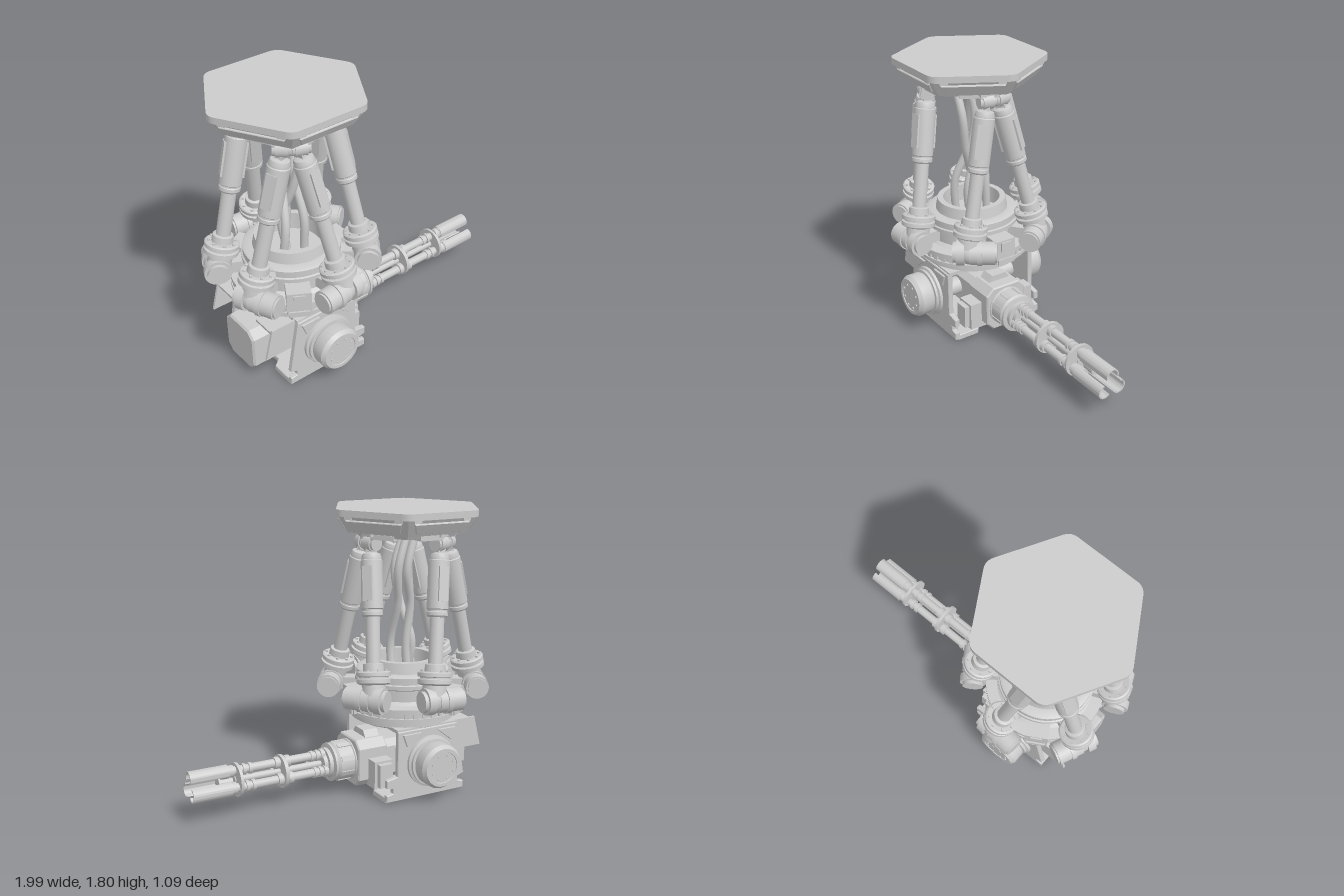
import * as THREE from 'three';
import { toCreasedNormals } from 'three/addons/utils/BufferGeometryUtils.js';

const smooth = new THREE.MeshStandardMaterial({ color: 0xcccccc, side: THREE.DoubleSide });
const flat = new THREE.MeshStandardMaterial({ color: 0xcccccc, flatShading: true });
const CX = -0.465; // vertical axis of the mount
const V = (x, y, z) => new THREE.Vector3(x, y, z);

function add(parent, name, geo, x = 0, y = 0, z = 0, mat = smooth) {
  const m = new THREE.Mesh(geo, mat);
  m.name = name;
  m.position.set(x, y, z);
  parent.add(m);
  return m;
}
function group(parent, name, x = 0, y = 0, z = 0) {
  const g = new THREE.Group();
  g.name = name;
  g.position.set(x, y, z);
  parent.add(g);
  return g;
}
const box = (w, h, d) => new THREE.BoxGeometry(w, h, d);
const cyl = (rTop, rBottom, h, n = 28) => new THREE.CylinderGeometry(rTop, rBottom, h, n);
const cylZ = (r, h, n = 28) => cyl(r, r, h, n).rotateX(Math.PI / 2);
const lathe = (pts, n = 48) =>
  toCreasedNormals(new THREE.LatheGeometry(pts.map(p => new THREE.Vector2(...p)), n), 0.5);
const poly = pts => new THREE.Shape(pts.map(p => new THREE.Vector2(...p)));
const slab = (shape, depth, bevel = 0) => new THREE.ExtrudeGeometry(shape, {
  depth, bevelEnabled: bevel > 0, bevelSize: bevel, bevelThickness: bevel, bevelOffset: -bevel, bevelSegments: 1, curveSegments: 20,
});

// Hexagon with softened corners, one corner on +x
function roundedHex(r, cut) {
  const s = new THREE.Shape();
  const corner = i => new THREE.Vector2(Math.cos(i * Math.PI / 3) * r, Math.sin(i * Math.PI / 3) * r);
  for (let i = 0; i < 6; i++) {
    const c = corner(i), a = c.clone().lerp(corner(i - 1), cut), b = c.clone().lerp(corner(i + 1), cut);
    i ? s.lineTo(a.x, a.y) : s.moveTo(a.x, a.y);
    s.quadraticCurveTo(c.x, c.y, b.x, b.y);
  }
  return s;
}

function buildTopPlate(root) {
  const g = group(root, 'topPlate', CX, 0, -0.01);
  add(g, 'plateRim', slab(roundedHex(0.49, 0.1), 0.04).rotateX(-Math.PI / 2), 0, 1.76, 0);
  add(g, 'plateSkirt', cyl(0.475, 0.405, 0.1, 6).rotateY(Math.PI / 2), 0, 1.71, 0, flat);
  add(g, 'plateUnderside', cyl(0.35, 0.33, 0.03, 6).rotateY(Math.PI / 2), 0, 1.648, 0, flat);
  for (let i = 0; i < 6; i++) {
    const side = group(g, 'skirtSide');
    side.rotation.y = Math.PI / 6 + i * Math.PI / 3;
    // Raised trapezoid panel lying on the sloped face
    const panel = add(side, 'skirtPanel', slab(poly([[-0.16, -0.035], [0.16, -0.035], [0.19, 0.035], [-0.19, 0.035]]), 0.012, 0.004), 0.378, 1.712, 0);
    panel.rotation.set(0, Math.PI / 2, 0.545 - Math.PI / 2 + Math.PI / 2, 'ZYX');
    panel.rotation.z = -0.545;
    for (const s of [-1, 1]) add(side, 'rimLug', box(0.03, 0.02, 0.05), 0.395, 1.752, s * 0.17);
    add(side, 'undersideBlock', box(0.1, 0.03, 0.16), 0.25, 1.635, 0);
  }
}

// One strut from the upper joint to the elbow, mirrored by s
function buildLeg(root, k, s) {
  const turn = k * Math.PI * 2 / 3;
  const polar = (deg, r, y) => {
    const a = turn + s * deg * Math.PI / 180;
    return V(CX + Math.cos(a) * r, y, Math.sin(a) * r);
  };
  const top = polar(10, 0.27, 1.59), foot = polar(36, 0.445, 0.675);
  const up = top.clone().sub(foot), len = up.length();
  up.normalize();
  const radial = V(foot.x - CX, 0, foot.z).normalize();
  const side = V().crossVectors(up, radial).normalize();
  const leg = group(root, 'leg', foot.x, foot.y, foot.z);
  leg.quaternion.setFromRotationMatrix(new THREE.Matrix4().makeBasis(side, up, V().crossVectors(side, up)));
  add(leg, 'elbowNeck', cyl(0.072, 0.075, 0.13), 0, 0.05, 0);
  add(leg, 'ankleFlange', lathe([[0, 0.09], [0.085, 0.09], [0.105, 0.1], [0.105, 0.125], [0.09, 0.13], [0.09, 0.138],
    [0.105, 0.142], [0.105, 0.165], [0.095, 0.172], [0.065, 0.172], [0.062, 0.215], [0.05, 0.22], [0, 0.22]], 32));
  for (let i = 0; i < 8; i++) {
    const a = i * Math.PI / 4;
    add(leg, 'flangeBolt', cyl(0.009, 0.009, 0.012, 8), Math.cos(a) * 0.082, 0.176, Math.sin(a) * 0.082);
  }
  add(leg, 'pistonRod', cyl(0.044, 0.044, 0.4), 0, 0.36, 0);
  add(leg, 'cylinderBody', lathe([[0, 0.5], [0.055, 0.5], [0.064, 0.51], [0.064, 0.53], [0.06, 0.535], [0.06, 0.545], [0.066, 0.55],
    [0.066, 0.84], [0.061, 0.845], [0.061, 0.86], [0.055, 0.88], [0.03, 0.89], [0, 0.89]], 32));
  for (const d of [-1, 1]) add(leg, 'cylinderPanel', box(0.062, 0.21, 0.016), 0, 0.7, d * 0.062);
  add(leg, 'topEye', box(0.05, 0.09, 0.06), 0, len - 0.035, 0);

  // Upper clevis fixed to the plate, pin lying along the tangent
  const tangentAngle = -(turn + s * 10 * Math.PI / 180);
  const clevis = group(root, 'upperClevis', top.x, top.y, top.z);
  clevis.rotation.y = tangentAngle;
  add(clevis, 'pin', cylZ(0.05, 0.07));
  for (const d of [-1, 1]) {
    add(clevis, 'clevisEar', cylZ(0.042, 0.018), 0, 0, d * 0.044);
    add(clevis, 'clevisArm', box(0.07, 0.07, 0.018), 0, 0.035, d * 0.044);
  }
  add(clevis, 'clevisBase', box(0.11, 0.025, 0.12), 0, 0.06, 0);

  // Elbow: horizontal drum pointing away from the neighbouring leg (local z)
  const elbow = group(root, 'elbow', foot.x, foot.y, foot.z);
  elbow.rotation.y = -(turn + s * 36 * Math.PI / 180);
  const d = -s;
  add(elbow, 'elbowBall', new THREE.SphereGeometry(0.078, 24, 16));
  add(elbow, 'elbowDrum', cylZ(0.073, 0.16), 0.012, -0.005, d * 0.09);
  add(elbow, 'elbowBand', cylZ(0.081, 0.03), 0.012, -0.005, d * 0.075);
  add(elbow, 'elbowCap', cylZ(0.062, 0.012), 0.012, -0.005, d * 0.176);
  add(elbow, 'rearDrum', cylZ(0.083, 0.05), 0.012, 0, -d * 0.045);
  add(elbow, 'rearCap', cylZ(0.065, 0.025), 0.012, 0, -d * 0.08);
  add(elbow, 'footBracket', box(0.16, 0.075, 0.09), -0.1, -0.01, d * 0.02);
}

function buildBase(root) {
  const g = group(root, 'rotatingBase', CX, 0, 0);
  add(g, 'baseRings', lathe([[0, 0.45], [0.3, 0.45], [0.33, 0.465], [0.33, 0.48], [0.345, 0.485], [0.345, 0.51], [0.38, 0.515],
    [0.38, 0.537], [0.363, 0.537], [0.363, 0.57], [0.38, 0.57], [0.38, 0.597], [0.31, 0.602], [0.285, 0.62], [0.285, 0.69],
    [0.305, 0.7], [0.305, 0.725], [0.295, 0.73], [0.295, 0.772], [0.28, 0.78], [0.235, 0.782], [0.222, 0.85],
    [0.185, 0.85], [0.18, 0.74], [0, 0.74]], 64));
  for (let i = 0; i < 40; i++) {
    const a = i * Math.PI / 20;
    add(g, 'ringTooth', box(0.016, 0.033, 0.028), Math.cos(a) * 0.365, 0.553, Math.sin(a) * 0.365).rotation.y = -a;
  }
  for (let k = 0; k < 3; k++) {
    const unit = group(g, 'sensorBox');
    unit.rotation.y = -k * Math.PI * 2 / 3;
    add(unit, 'sensorHousing', box(0.12, 0.16, 0.145), 0.335, 0.61, 0);
    add(unit, 'sensorFace', box(0.012, 0.065, 0.07), 0.398, 0.645, 0);
    add(unit, 'sensorFoot', box(0.03, 0.035, 0.12), 0.39, 0.545, 0);
  }
}

function buildCables(root) {
  const paths = [
    [[-0.57, 0.74, 0.06], [-0.55, 0.95, 0.07], [-0.5, 1.2, -0.02], [-0.47, 1.42, -0.04], [-0.5, 1.65, 0]],
    [[-0.41, 0.74, 0.05], [-0.41, 0.95, 0.06], [-0.41, 1.2, -0.02], [-0.38, 1.42, -0.07], [-0.45, 1.65, -0.06]],
    [[-0.44, 0.74, -0.1], [-0.43, 0.95, -0.09], [-0.45, 1.2, -0.1], [-0.4, 1.42, -0.14], [-0.46, 1.65, -0.13]],
    [[-0.5, 0.74, 0.0], [-0.51, 0.95, -0.03], [-0.46, 1.2, 0.04], [-0.44, 1.42, 0.07], [-0.52, 1.65, 0.08]],
  ];
  for (const p of paths)
    add(root, 'cable', new THREE.TubeGeometry(new THREE.CatmullRomCurve3(p.map(q => V(...q))), 40, 0.026, 12));
}

function buildYoke(root) {
  const g = group(root, 'yoke');
  const plate = poly([[-0.67, 0.46], [-0.24, 0.46], [-0.24, 0.17], [-0.165, 0.155], [-0.165, 0.105], [-0.21, 0.095], [-0.21, 0.065],
    [-0.165, 0.055], [-0.165, 0.01], [-0.735, 0.01], [-0.735, 0.055], [-0.69, 0.065], [-0.69, 0.095], [-0.735, 0.11]]);
  const hood = poly([[-0.88, 0.27], [-0.83, 0.465], [-0.66, 0.465], [-0.7, 0.27]]);
  const boss = [[0, 0], [0.165, 0], [0.165, 0.018], [0.15, 0.024], [0.15, 0.04], [0.133, 0.042], [0.14, 0.055], [0.14, 0.13],
    [0.122, 0.155], [0.1, 0.155], [0.098, 0.15], [0, 0.15]];
  for (const s of [-1, 1]) {
    add(g, 'sidePlate', slab(plate, 0.026, 0.004), 0, 0, s * 0.315 - 0.013);
    add(g, 'rearHoodSide', slab(hood, 0.015), 0, 0, s * 0.29 - 0.0075);
    add(g, 'rearHoodTop', box(0.17, 0.015, 0.17), -0.745, 0.437, s * 0.212);
    add(g, 'pivotBoss', lathe(boss).rotateX(s * Math.PI / 2), -0.47, 0.245, s * 0.336);
    for (let i = 0; i < 8; i++) {
      const a = (i + 0.5) * Math.PI / 4;
      add(g, 'bossBolt', cylZ(0.008, 0.01, 8), -0.47 + Math.cos(a) * 0.08, 0.245 + Math.sin(a) * 0.08, s * 0.488);
    }
    // Triangular ribs in the upper corners of the side plate
    for (const d of [-1, 1])
      add(g, 'cornerRib', slab(poly([[d * 0.06, 0.44], [d * 0.19, 0.44], [d * 0.16, 0.36]]), 0.012, 0.003), -0.46, 0, s * 0.336 - 0.006);
    add(g, 'hangerPost', box(0.3, 0.07, 0.02), -0.46, 0.465, s * 0.06);
    add(g, 'hangerFoot', box(0.3, 0.015, 0.05), -0.46, 0.435, s * 0.085);
    add(g, 'lowerCorner', box(0.46, 0.13, 0.02), -0.45, 0.09, s * 0.292);
  }
  add(g, 'topBridge', box(0.43, 0.022, 0.64), -0.455, 0.459, 0);
  const floor = poly([[-0.735, -0.31], [-0.165, -0.31], [-0.165, -0.16], [-0.215, -0.12], [-0.215, 0.12], [-0.165, 0.16],
    [-0.165, 0.31], [-0.735, 0.31], [-0.735, 0.16], [-0.685, 0.12], [-0.685, -0.12], [-0.735, -0.16]]);
  add(g, 'floorPlate', slab(floor, 0.03, 0.004).rotateX(-Math.PI / 2), 0, 0.004, 0);
  add(g, 'pivotAxle', cylZ(0.06, 0.62), -0.47, 0.215, 0);
}

// Local z runs along the barrels
function buildGun(root) {
  const g = group(root, 'gun', 0, 0.215, 0);
  g.rotation.y = Math.PI / 2;
  const oct = (w, lo, hi, c) => poly([[-w + c, lo], [w - c, lo], [w, lo + c], [w, hi - c], [w - c, hi], [-w + c, hi], [-w, hi - c], [-w, lo + c]]);
  add(g, 'receiver', slab(oct(0.125, -0.14, 0.12, 0.04), 0.45), 0, 0, -0.69);
  add(g, 'rearHousing', slab(oct(0.148, -0.16, 0.14, 0.05), 0.2, 0.012), 0, 0, -0.865);
  add(g, 'frontHousing', slab(oct(0.148, -0.155, 0.15, 0.05), 0.19, 0.008), 0, 0, -0.265);
  add(g, 'housingRidge', slab(poly([[-0.085, 0.14], [0.085, 0.14], [0.05, 0.19], [-0.05, 0.19]]), 0.1), 0, 0, -0.25);
  for (const s of [-1, 1]) {
    add(g, 'sideBox', box(0.09, 0.18, 0.13), s * 0.185, -0.055, -0.2);
    add(g, 'sideBoxEnd', box(0.04, 0.15, 0.09), s * 0.245, -0.055, -0.2);
  }
  add(g, 'barrelHousing', lathe([[0, -0.08], [0.13, -0.08], [0.13, -0.06], [0.122, -0.055], [0.122, 0.04], [0.112, 0.055], [0.112, 0.06],
    [0.122, 0.062], [0.122, 0.075], [0.095, 0.08], [0.095, 0.105], [0, 0.105]]).rotateX(Math.PI / 2));
  for (let i = 0; i < 8; i++) {
    const a = (i + 0.5) * Math.PI / 4;
    add(g, 'housingRib', box(0.012, 0.03, 0.09), Math.cos(a) * 0.121, Math.sin(a) * 0.121, -0.01).rotation.z = a;
  }
  for (const [z, r, w] of [[0.11, 0.07, 0.04], [0.4, 0.105, 0.022], [0.695, 0.105, 0.018]]) add(g, 'barrelClamp', cylZ(r, w), 0, 0, z);
  add(g, 'centreSpindle', cylZ(0.022, 0.62, 16), 0, 0, 0.4);

  for (let k = 0; k < 3; k++) {
    const a = Math.PI / 2 + k * Math.PI * 2 / 3, arc = 1.95;
    const b = group(g, 'barrel', Math.cos(a) * 0.06, Math.sin(a) * 0.06, 0);
    add(b, 'barrelTube', cylZ(0.027, 0.69, 20), 0, 0, 0.435);
    for (const [z, r, w] of [[0.125, 0.037, 0.025], [0.16, 0.035, 0.02], [0.195, 0.034, 0.02], [0.365, 0.038, 0.03],
      [0.435, 0.038, 0.03], [0.61, 0.035, 0.02], [0.65, 0.035, 0.02], [0.735, 0.037, 0.03]])
      add(b, 'barrelRing', cylZ(r, w, 20), 0, 0, z);
    // Open muzzle shell with the slot facing the centre
    const shell = new THREE.Shape();
    shell.absarc(0, 0, 0.045, a - arc, a + arc, false);
    shell.absarc(0, 0, 0.036, a + arc, a - arc, true);
    add(b, 'muzzleShell', toCreasedNormals(slab(shell, 0.245), 0.5), 0, 0, 0.755);
    add(b, 'muzzleBase', cylZ(0.04, 0.05, 20), 0, 0, 0.775);
  }
}

export function createModel() {
  const root = new THREE.Group();
  root.name = 'hangingTurret';
  buildTopPlate(root);
  for (let k = 0; k < 3; k++) for (const s of [-1, 1]) buildLeg(root, k, s);
  buildCables(root);
  buildBase(root);
  buildYoke(root);
  buildGun(root);
  return root;
}
